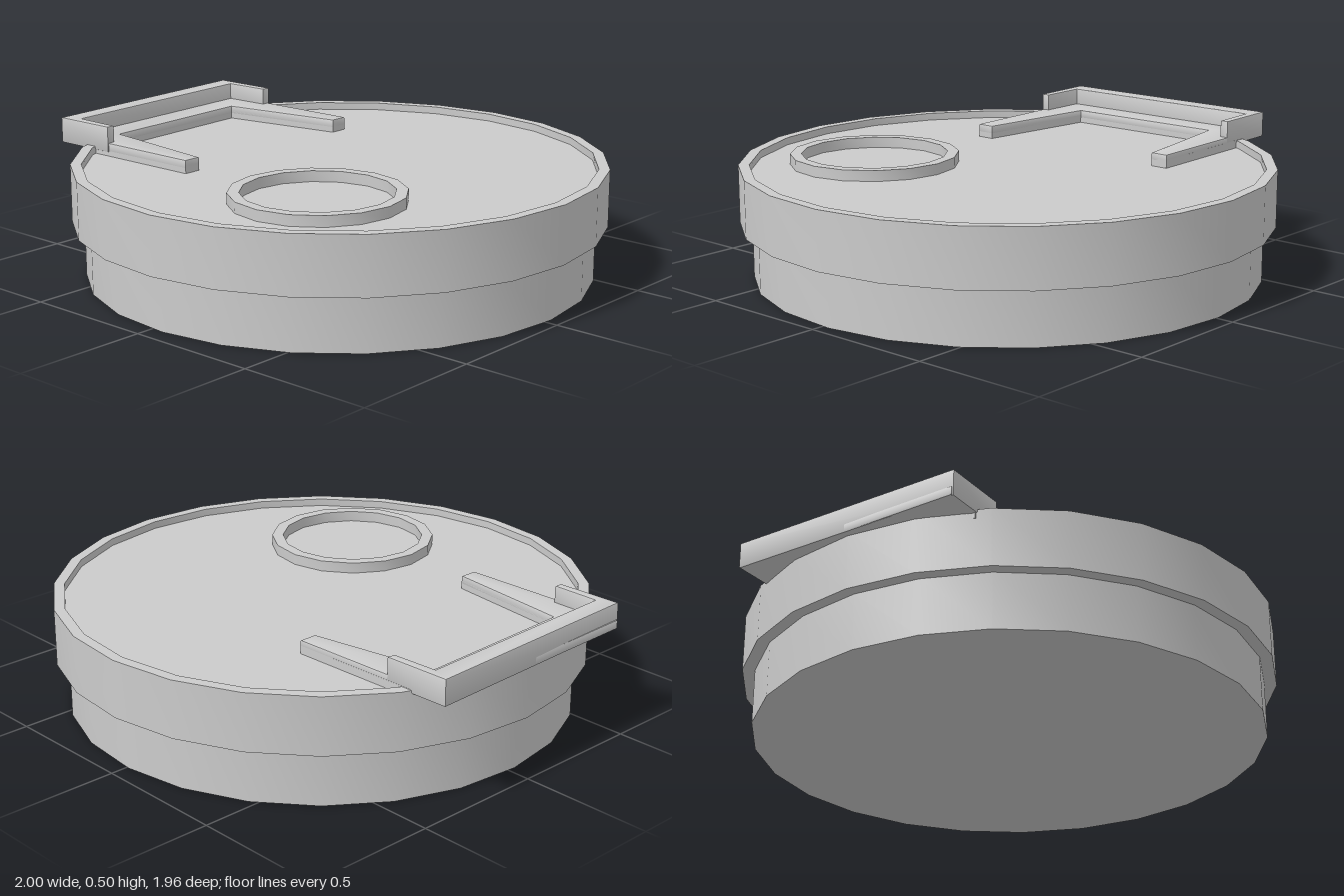
import * as THREE from 'three';
import { toCreasedNormals } from 'three/addons/utils/BufferGeometryUtils.js';

const material = new THREE.MeshStandardMaterial({ color: 0xcccccc });
const TWIST = THREE.MathUtils.degToRad(1.75);

function addMesh(parent, name, geometry) {
  const mesh = new THREE.Mesh(toCreasedNormals(geometry, 0.5), material);
  mesh.name = name;
  parent.add(mesh);
  return mesh;
}

// Profile of [radius, y] pairs turned around the vertical axis
function turned(profile, sides) {
  return new THREE.LatheGeometry(profile.map(([r, y]) => new THREE.Vector2(r, y)), sides);
}

// Outline of [x, z] pairs raised from y0 to y1, with slightly softened edges
function slab(outline, y0, y1, bevel = 0.005) {
  const shape = new THREE.Shape(outline.map(([x, z]) => new THREE.Vector2(x, -z)));
  const geometry = new THREE.ExtrudeGeometry(shape, {
    depth: y1 - y0 - 2 * bevel,
    bevelEnabled: bevel > 0,
    bevelThickness: bevel,
    bevelSize: bevel,
    bevelOffset: -bevel,
    bevelSegments: 2,
  });
  geometry.rotateX(-Math.PI / 2);
  geometry.translate(0, y0 + bevel, 0);
  return geometry;
}

export function createModel() {
  const model = new THREE.Group();
  model.name = 'roundHatch';
  const floor = 0.39;

  // Stepped drum with a thin raised rim around its recessed top
  const drum = addMesh(model, 'drum', turned([
    [0, 0], [0.935, 0], [0.935, 0.205], [0.98, 0.205],
    [0.98, 0.418], [0.94, 0.418], [0.94, floor], [0, floor],
  ], 24));
  drum.position.x = 0.02;
  drum.rotation.y = TWIST;

  // Small ring on the top
  const ring = addMesh(model, 'topRing', turned([
    [0.27, floor - 0.005], [0.312, floor - 0.005], [0.312, 0.43], [0.27, 0.43], [0.27, floor - 0.005],
  ], 16));
  ring.position.set(0.29, 0, 0.42);
  ring.rotation.y = TWIST;

  // Bracket overhanging one side: low plate with tapered arms, feet, raised wall
  const bracket = new THREE.Group();
  bracket.name = 'bracket';
  model.add(bracket);

  const arms = [
    [-0.32, 0.455], [-0.32, 0.388], [-0.802, 0.335],
    [-0.823, -0.29], [-0.35, -0.377], [-0.35, -0.445],
  ];
  addMesh(bracket, 'bracketPlate', slab([[-0.975, 0.472], ...arms, [-0.995, -0.422]], 0.406, 0.44));
  addMesh(bracket, 'bracketFeet', slab([[-0.84, 0.468], ...arms, [-0.85, -0.428]], floor - 0.005, 0.42, 0));
  addMesh(bracket, 'bracketWall', slab([
    [-0.97, 0.477], [-0.72, 0.469], [-0.72, 0.438], [-0.9, 0.438],
    [-0.925, -0.39], [-0.75, -0.4], [-0.75, -0.431], [-1, -0.422],
  ], 0.405, 0.503));

  return model;
}
